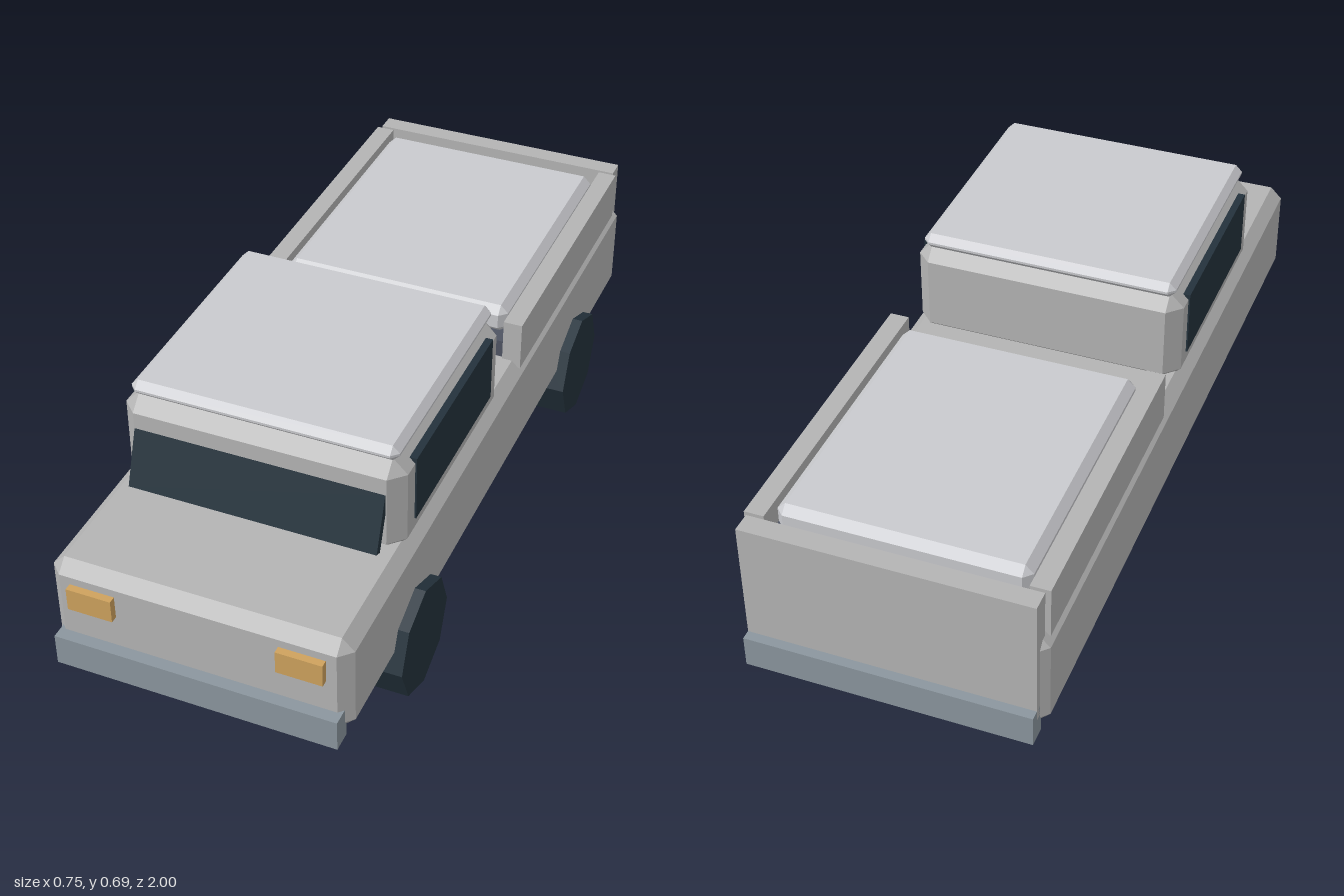
import * as THREE from 'three';
import { ConvexGeometry } from 'three/addons/geometries/ConvexGeometry.js';

const paint = (name, color) => {
  const m = new THREE.MeshStandardMaterial({ color, flatShading: true });
  m.name = name;
  return m;
};

// Box with every edge cut at 45 degrees
function chamferBox(w, h, d, c) {
  const pts = [];
  for (const sx of [-1, 1]) for (const sy of [-1, 1]) for (const sz of [-1, 1]) {
    const x = sx * w / 2, y = sy * h / 2, z = sz * d / 2;
    pts.push(
      new THREE.Vector3(x, y - sy * c, z - sz * c),
      new THREE.Vector3(x - sx * c, y, z - sz * c),
      new THREE.Vector3(x - sx * c, y - sy * c, z));
  }
  return new ConvexGeometry(pts);
}

export function createModel() {
  const body = paint('body grey', 0xb4b4b4);
  const panel = paint('roof light grey', 0xc9cace);
  const dark = paint('glass and tyre dark', 0x24323c);
  const steel = paint('bumper steel', 0x8b969e);
  const amber = paint('headlight amber', 0xcea25d);
  const floor = paint('bed floor slate', 0x4f5462);

  const group = new THREE.Group();
  group.name = 'pickupTruck';
  const add = (name, geometry, material, x, y, z) => {
    const mesh = new THREE.Mesh(geometry, material);
    mesh.name = name;
    mesh.position.set(x, y, z);
    group.add(mesh);
    return mesh;
  };
  // Place a box by its limits on each axis; a chamfer is optional
  const block = (name, material, [x0, x1], [y0, y1], [z0, z1], chamfer = 0) => {
    const s = [x1 - x0, y1 - y0, z1 - z0];
    const g = chamfer ? chamferBox(...s, chamfer) : new THREE.BoxGeometry(...s);
    return add(name, g, material, (x0 + x1) / 2, (y0 + y1) / 2, (z0 + z1) / 2);
  };
  const cx = -0.014; // centre line of the bodywork
  const across = (half) => [cx - half, cx + half];

  // Bodywork
  block('lowerBody', body, across(0.364), [0.162, 0.424], [-0.97, 0.97], 0.03);
  block('cab', body, across(0.346), [0.395, 0.65], [0, 0.638], 0.036);
  block('roof', panel, across(0.327), [0.645, 0.685], [0.01, 0.62], 0.017);

  // Windscreen, leaning back
  const screen = add('windscreen', new THREE.BoxGeometry(0.616, 0.142, 0.02), dark, cx, 0.502, 0.655);
  screen.rotation.x = -0.35;

  // Cargo bed
  block('bedFloor', floor, across(0.308), [0.41, 0.47], [-0.925, -0.138]);
  block('cargoCover', panel, across(0.3), [0.465, 0.542], [-0.888, -0.168], 0.02);
  block('tailgate', body, across(0.346), [0.2, 0.535], [-0.976, -0.926]);

  // Bumpers
  block('frontBumper', steel, across(0.346), [0.148, 0.229], [0.95, 1]);
  block('rearBumper', steel, across(0.346), [0.148, 0.229], [-1, -0.95]);

  // Paired parts
  for (const [side, s] of [['left', 1], ['right', -1]]) {
    const span = (a, b) => [cx + s * a, cx + s * b].sort((p, q) => p - q);
    block(side + 'BedRail', body, span(0.308, 0.356), [0.406, 0.535], [-0.917, -0.131]);
    block(side + 'Window', dark, span(0.332, 0.35), [0.458, 0.628], [0.073, 0.56]);
    block(side + 'Headlight', amber, span(0.198, 0.309), [0.315, 0.374], [0.96, 0.988]);
  }

  // Eight-sided wheels, set off-centre towards the left
  for (const [side, x] of [['Left', 0.332], ['Right', -0.27]]) {
    for (const [end, z] of [['front', 0.597], ['rear', -0.56]]) {
      const wheel = new THREE.CylinderGeometry(0.142, 0.142, 0.09, 8).rotateZ(Math.PI / 2);
      add(end + side + 'Wheel', wheel, dark, x, 0.142, z);
    }
  }
  return group;
}
